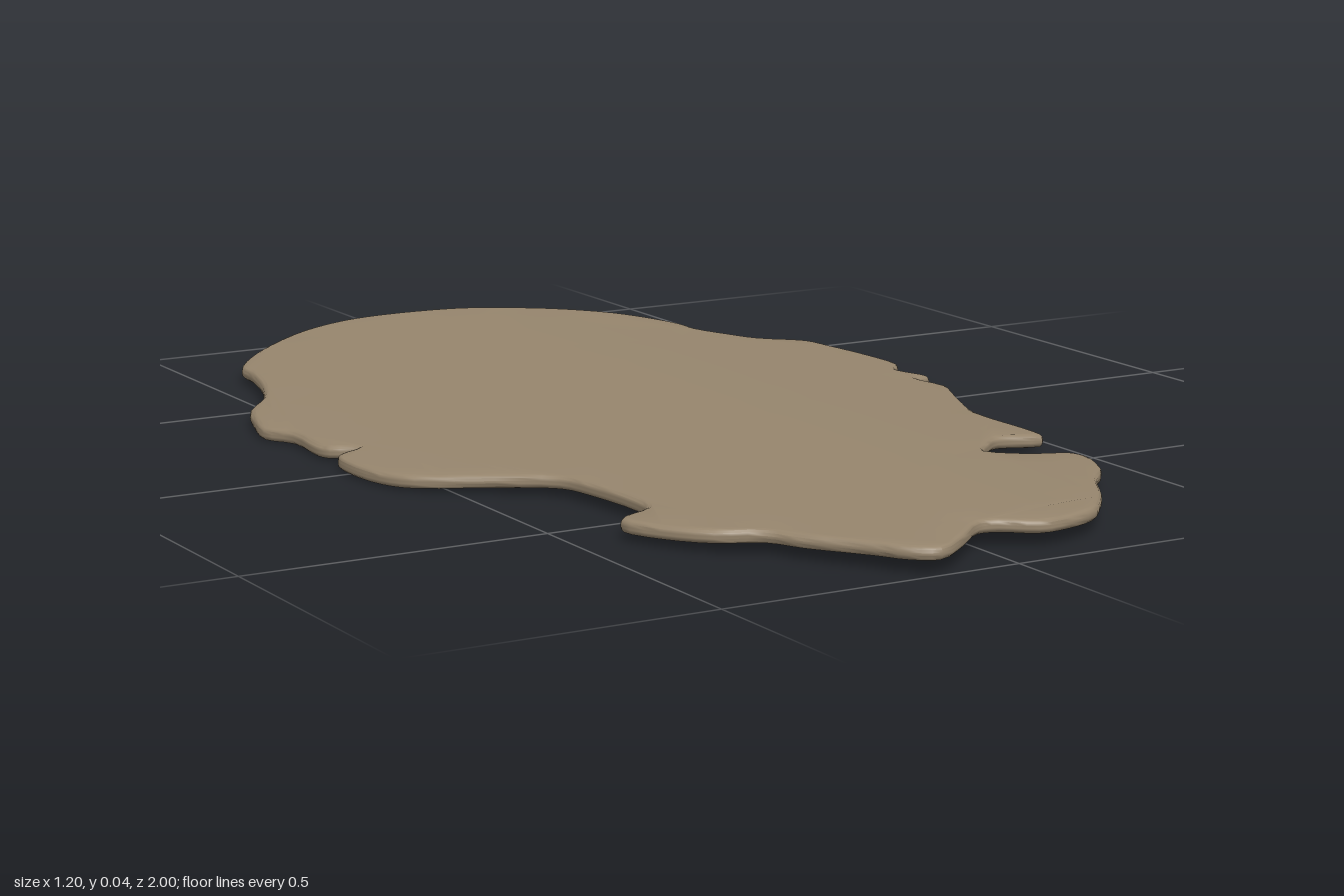
import * as THREE from 'three';
import { mergeVertices, toCreasedNormals } from 'three/addons/utils/BufferGeometryUtils.js';

// Outline as [x, z] pairs: +x side from back to front, then -x side from front to back
const leftEdge = [
  [0, -1], [0.09, -0.995], [0.14, -0.985], [0.22, -0.95], [0.3, -0.9], [0.37, -0.83],
  [0.41, -0.75], [0.43, -0.68], [0.43, -0.63], [0.46, -0.56], [0.49, -0.51], [0.565, -0.465],
  [0.58, -0.4], [0.595, -0.3], [0.595, -0.21], [0.57, -0.18], [0.56, -0.15], [0.58, -0.09],
  [0.545, -0.075], [0.555, 0], [0.53, 0.06], [0.49, 0.15], [0.46, 0.23], [0.46, 0.4],
  [0.45, 0.43], [0.37, 0.42], [0.33, 0.45], [0.29, 0.5], [0.34, 0.54], [0.41, 0.56],
  [0.42, 0.59], [0.39, 0.67], [0.33, 0.74], [0.28, 0.82], [0.24, 0.87], [0.2, 0.91],
  [0.14, 0.935], [0.08, 0.94], [0.03, 0.905],
];
const rightEdge = [
  [0, 0.9], [-0.06, 0.95], [-0.13, 0.995], [-0.17, 0.97], [-0.2, 0.92], [-0.26, 0.83],
  [-0.29, 0.77], [-0.35, 0.73], [-0.4, 0.66], [-0.425, 0.59], [-0.41, 0.57], [-0.36, 0.55],
  [-0.35, 0.5], [-0.36, 0.37], [-0.375, 0.31], [-0.45, 0.24], [-0.55, 0.16], [-0.58, 0.1],
  [-0.59, 0], [-0.58, -0.05], [-0.535, -0.07], [-0.57, -0.1], [-0.58, -0.13], [-0.575, -0.23],
  [-0.6, -0.29], [-0.585, -0.36], [-0.56, -0.43], [-0.51, -0.49], [-0.47, -0.58],
  [-0.445, -0.68], [-0.44, -0.73], [-0.4, -0.79], [-0.32, -0.87], [-0.22, -0.945],
  [-0.13, -0.985], [-0.07, -0.997],
];

// Halves long edges until the flat faces are fine enough to bend
function subdivide(geometry, maxLength) {
  const pos = geometry.attributes.position;
  const out = [];
  const split = (a, b, c) => {
    const ab = a.distanceTo(b), bc = b.distanceTo(c), ca = c.distanceTo(a);
    const longest = Math.max(ab, bc, ca);
    if (longest <= maxLength) {
      for (const p of [a, b, c]) out.push(p.x, p.y, p.z);
      return;
    }
    if (longest === bc) [a, b, c] = [b, c, a];
    else if (longest === ca) [a, b, c] = [c, a, b];
    const mid = a.clone().add(b).multiplyScalar(0.5);
    split(a, mid, c);
    split(mid, b, c);
  };
  for (let i = 0; i < pos.count; i += 3) {
    split(...[0, 1, 2].map((k) => new THREE.Vector3().fromBufferAttribute(pos, i + k)));
  }
  const result = new THREE.BufferGeometry();
  result.setAttribute('position', new THREE.Float32BufferAttribute(out, 3));
  return result;
}

export function createModel() {
  const group = new THREE.Group();
  group.name = 'curvedPlate';
  const tan = new THREE.MeshStandardMaterial({ color: 0x96856d });
  tan.name = 'tan';

  // Gently smoothed closed outline
  const points = [...leftEdge, ...rightEdge].map(([x, z]) => new THREE.Vector3(x, -z, 0));
  const curve = new THREE.CatmullRomCurve3(points, true, 'centripetal');
  const outline = curve.getPoints(points.length * 3).slice(0, -1);
  const shape = new THREE.Shape(outline.map((p) => new THREE.Vector2(p.x, p.y)));

  // Thin slab with rounded rim
  const bevel = 0.009, thickness = 0.022;
  const slab = new THREE.ExtrudeGeometry(shape, {
    depth: thickness - 2 * bevel, bevelEnabled: true, bevelThickness: bevel,
    bevelSize: bevel, bevelOffset: -bevel, bevelSegments: 3,
  });
  slab.rotateX(-Math.PI / 2);

  // Arch the slab so it droops towards both sides
  const bent = subdivide(slab.index ? slab.toNonIndexed() : slab, 0.12);
  const pos = bent.attributes.position;
  for (let i = 0; i < pos.count; i++) {
    pos.setY(i, pos.getY(i) - 0.057 * pos.getX(i) ** 2);
  }
  bent.computeBoundingBox();
  bent.translate(0, -bent.boundingBox.min.y + 0.002, 0);

  const plate = new THREE.Mesh(toCreasedNormals(mergeVertices(bent, 1e-5), 0.7), tan);
  plate.name = 'plate';
  group.add(plate);
  return group;
}
